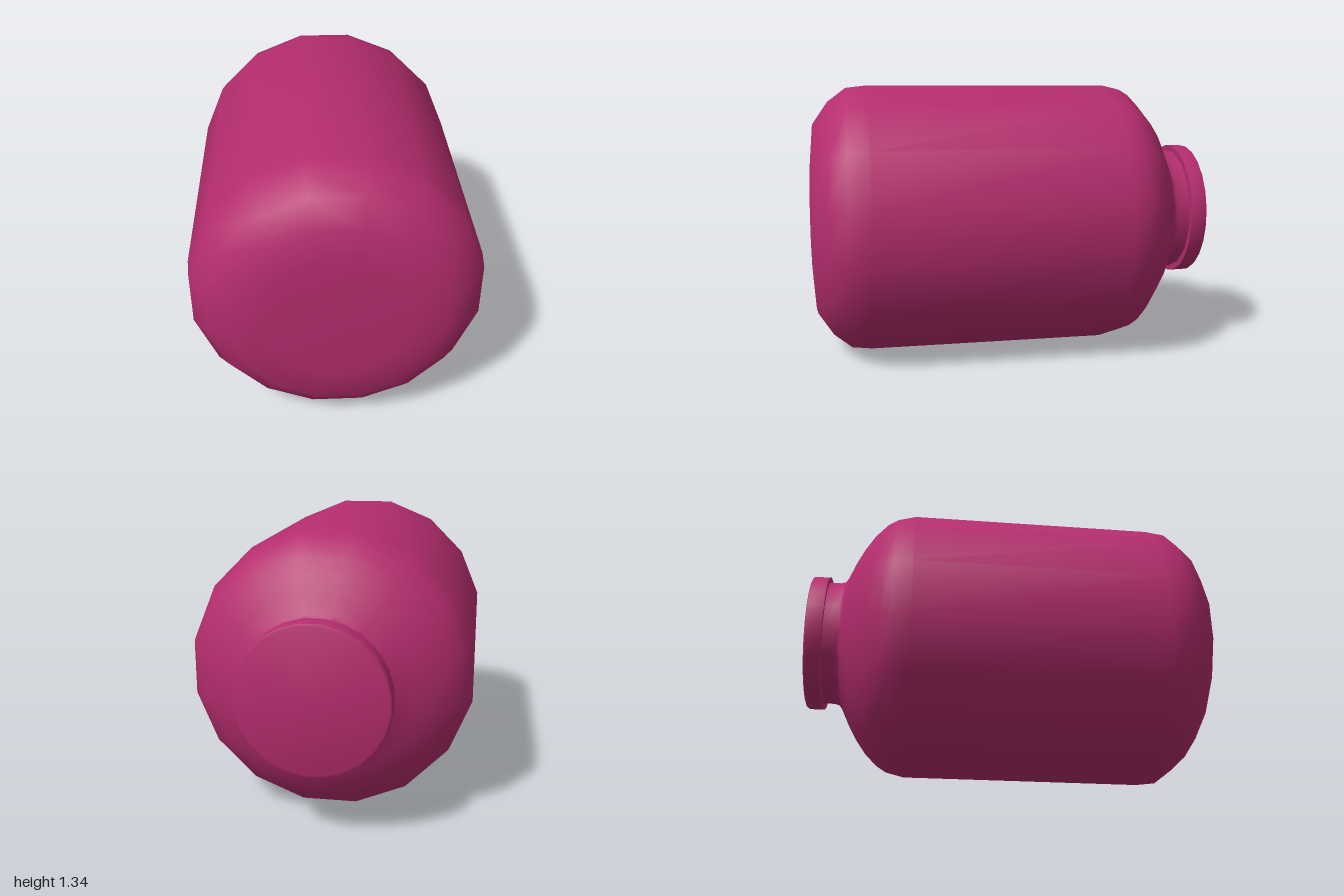
import * as THREE from 'three';
import { toCreasedNormals } from 'three/addons/utils/BufferGeometryUtils.js';

const CENTRE_Y = 0.67;

// Revolve [radius, distance towards the back] pairs about the z axis
function turned(name, profile, sides, material) {
  const points = profile.map(([r, d]) => new THREE.Vector2(r, d));
  const geometry = new THREE.LatheGeometry(points, sides, Math.PI / sides);
  geometry.rotateX(-Math.PI / 2);
  geometry.translate(0, CENTRE_Y, 0);
  const mesh = new THREE.Mesh(toCreasedNormals(geometry, 0.7), material);
  mesh.name = name;
  return mesh;
}

export function createModel() {
  const group = new THREE.Group();
  group.name = 'jar';
  const material = new THREE.MeshStandardMaterial({ color: 0xb52d6e });

  // Body: flat base, rounded edge, straight wall, domed shoulder and neck
  group.add(turned('body', [
    [0, -1], [0.33, -1], [0.49, -0.985], [0.6, -0.91], [0.67, -0.82], [0.682, -0.72],
    [0.682, 0.49], [0.66, 0.58], [0.63, 0.63], [0.57, 0.69], [0.5, 0.74],
    [0.43, 0.78], [0.345, 0.82], [0.325, 0.835], [0.318, 0.86], [0.318, 0.92],
  ], 16, material));

  // Cap: short disc with slightly softened rims
  group.add(turned('cap', [
    [0, 0.915], [0.346, 0.915], [0.346, 0.985], [0.342, 0.996], [0.332, 1], [0, 1],
  ], 24, material));

  return group;
}
